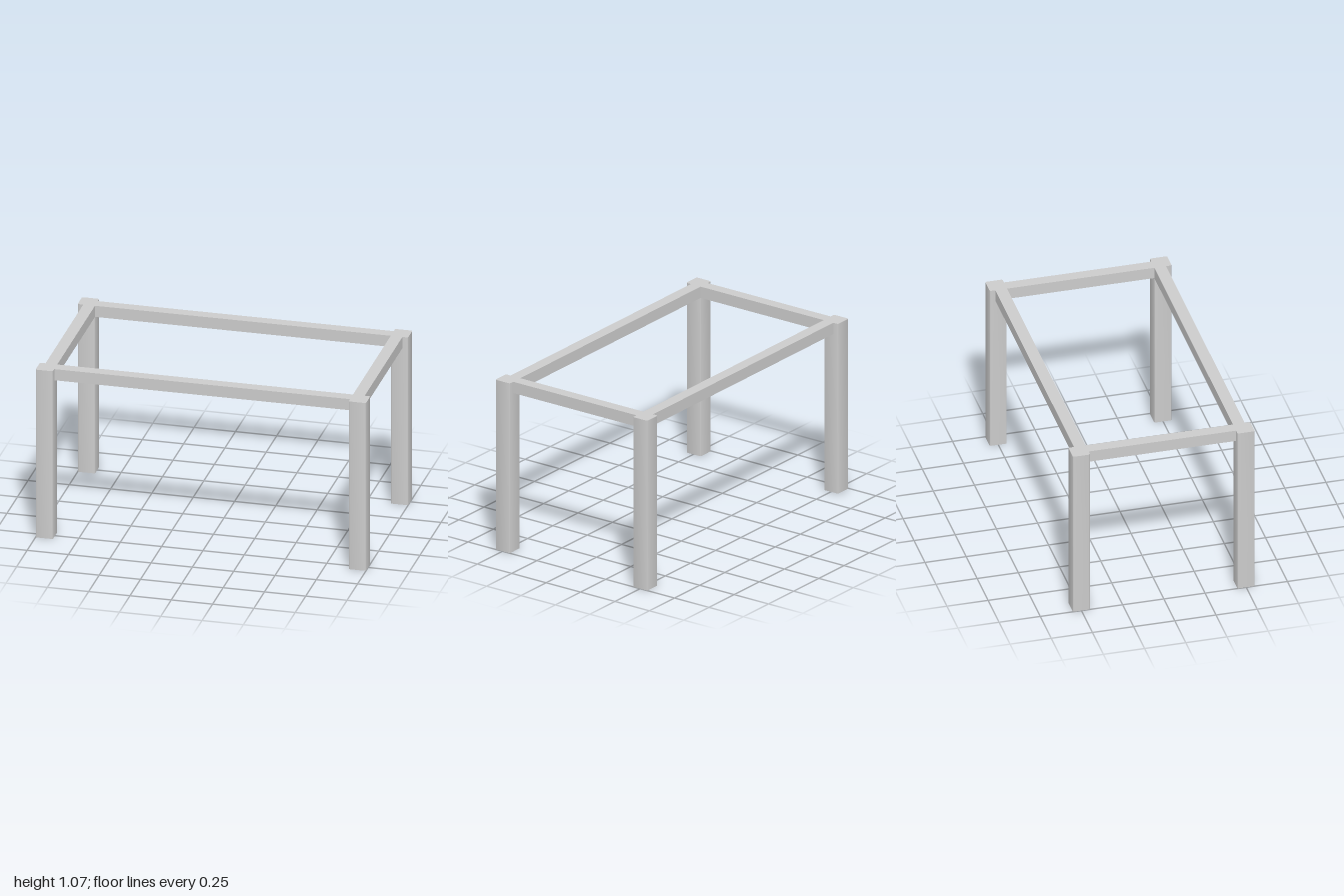
import * as THREE from 'three';
import { toCreasedNormals } from 'three/addons/utils/BufferGeometryUtils.js';

const HEIGHT = 1.072, LEG = 0.105, RAIL = 0.071;
const OUT_X = 1, OUT_Z = 0.552;
const IN_X = OUT_X - LEG, IN_Z = OUT_Z - LEG;

// Square post with softly rounded corners, standing on y = 0
function postGeometry() {
  const h = LEG / 2, r = 0.009;
  const shape = new THREE.Shape();
  shape.absarc(h - r, h - r, r, 0, Math.PI / 2);
  shape.absarc(r - h, h - r, r, Math.PI / 2, Math.PI);
  shape.absarc(r - h, r - h, r, Math.PI, Math.PI * 1.5);
  shape.absarc(h - r, r - h, r, Math.PI * 1.5, Math.PI * 2);
  const geo = new THREE.ExtrudeGeometry(shape, { depth: HEIGHT, bevelEnabled: false, curveSegments: 2 });
  geo.rotateX(-Math.PI / 2);
  return toCreasedNormals(geo, 1);
}

export function createModel() {
  const group = new THREE.Group();
  group.name = 'tableFrame';
  const material = new THREE.MeshStandardMaterial({ color: 0xcccccc });

  const add = (name, geo, x, y, z) => {
    const mesh = new THREE.Mesh(geo, material);
    mesh.name = name;
    mesh.position.set(x, y, z);
    group.add(mesh);
  };

  // Four corner legs
  const post = postGeometry();
  for (const [sx, side] of [[1, 'Left'], [-1, 'Right']]) {
    for (const [sz, end] of [[1, 'front'], [-1, 'back']]) {
      add(`${end}${side}Leg`, post, sx * (OUT_X - LEG / 2), 0, sz * (OUT_Z - LEG / 2));
    }
  }

  // Rails lie flush with the inner faces and tops of the legs
  const railY = HEIGHT - RAIL / 2, tuck = 0.01;
  const longRail = new THREE.BoxGeometry(2 * (IN_X + tuck), RAIL, RAIL);
  const shortRail = new THREE.BoxGeometry(RAIL, RAIL, 2 * (IN_Z + tuck));
  add('frontRail', longRail, 0, railY, IN_Z + RAIL / 2);
  add('backRail', longRail, 0, railY, -IN_Z - RAIL / 2);
  add('leftRail', shortRail, IN_X + RAIL / 2, railY, 0);
  add('rightRail', shortRail, -IN_X - RAIL / 2, railY, 0);

  return group;
}
